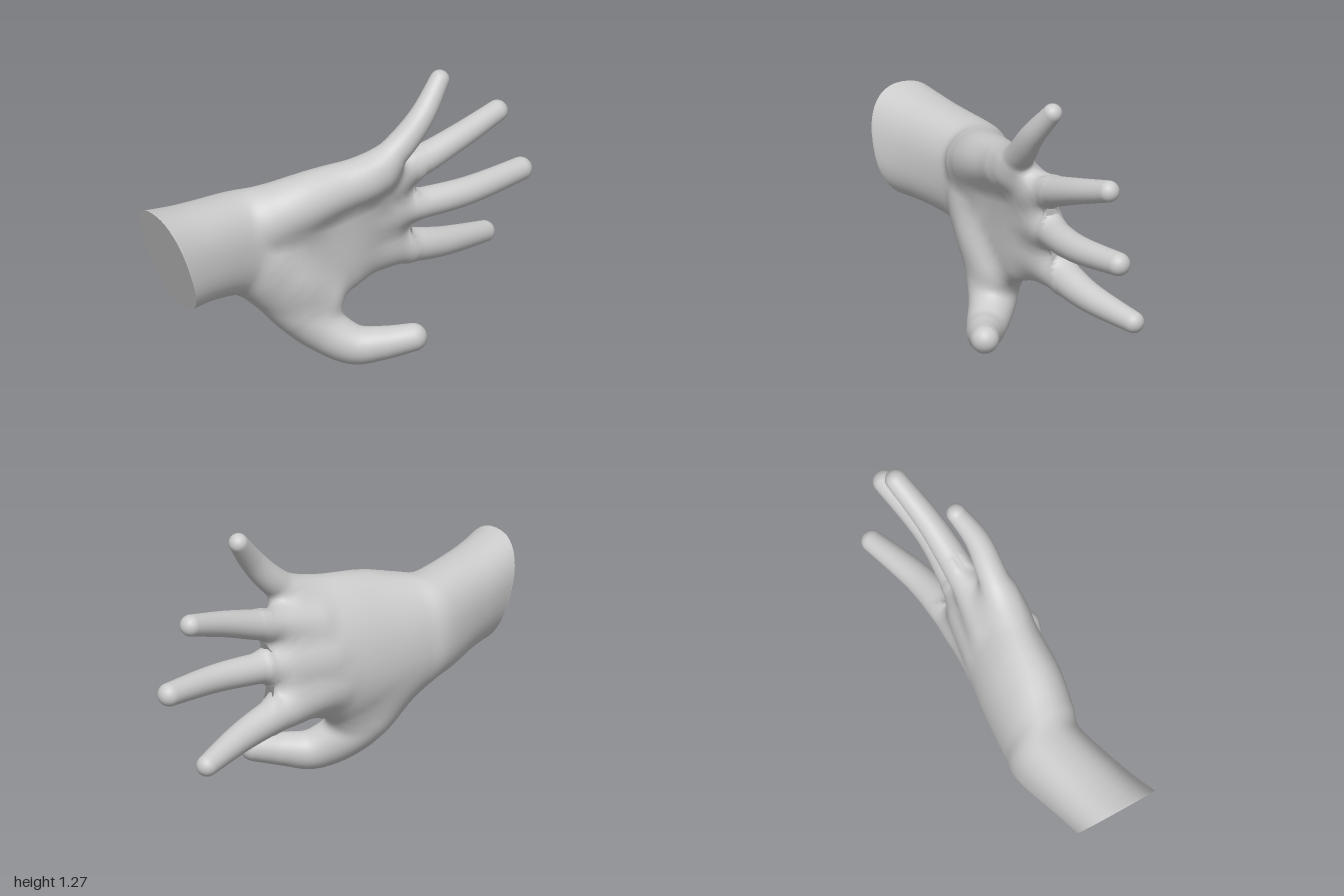
import * as THREE from 'three';

const material = new THREE.MeshStandardMaterial({ color: 0xcccccc });
const SIDES = 40;
const BLEND = 0.07; // width of the soft join between parts
const { clamp, lerp, smoothstep } = THREE.MathUtils;

// Smoothly interpolates a list of number rows, `steps` samples per span.
function smoothRows(rows, steps) {
  const out = [];
  const at = (i) => rows[clamp(i, 0, rows.length - 1)];
  for (let i = 0; i < rows.length - 1; i++) {
    for (let k = 0; k < steps; k++) {
      const t = k / steps;
      out.push(rows[i].map((b, c) => {
        const a = at(i - 1)[c], d = at(i + 1)[c], e = at(i + 2)[c];
        return b + 0.5 * t * (d - a + t * (2 * a - 5 * b + 4 * d - e + t * (3 * (b - d) + e - a)));
      }));
    }
  }
  out.push(rows[rows.length - 1]);
  return out;
}

const ringOf = (point) => Array.from({ length: SIDES }, (_, j) => point((j / SIDES) * Math.PI * 2));

// Round-ended limb. Rows: x, y, z, radius. Gives its rings and a distance function.
function limb(name, ...rows) {
  const samples = smoothRows(rows, 12), last = samples.length - 1;
  const centers = samples.map((r) => new THREE.Vector3(r[0], r[1], r[2]));
  const rings = [];
  const addRing = (center, tangent, r) => {
    const side = new THREE.Vector3(0, 0, 1).cross(tangent).normalize();
    const normal = tangent.clone().cross(side);
    rings.push(ringOf((a) => center.clone().addScaledVector(side, r * Math.cos(a)).addScaledVector(normal, r * Math.sin(a))));
  };
  const tangentAt = (i) => centers[Math.min(i + 1, last)].clone().sub(centers[Math.max(i - 1, 0)]).normalize();
  const dome = (i, dir) => {
    const t = tangentAt(i), r = samples[i][3];
    for (let k = 1; k <= 8; k++) {
      const a = ((dir > 0 ? k : 9 - k) / 8) * Math.PI * 0.49;
      addRing(centers[i].clone().addScaledVector(t, dir * r * Math.sin(a)), t, r * Math.cos(a));
    }
  };
  dome(0, -1);
  samples.forEach((r, i) => addRing(centers[i], tangentAt(i), r[3]));
  dome(last, 1);

  const box = new THREE.Box3().setFromPoints(rings.flat());
  const distance = (p) => {
    const far = box.distanceToPoint(p);
    if (far > 0.15) return far;
    let best = Infinity;
    for (let i = 0; i < last; i++) {
      const a = centers[i], b = centers[i + 1];
      const dx = b.x - a.x, dy = b.y - a.y, dz = b.z - a.z;
      const px = p.x - a.x, py = p.y - a.y, pz = p.z - a.z;
      const t = clamp((px * dx + py * dy + pz * dz) / (dx * dx + dy * dy + dz * dz), 0, 1);
      const d = Math.hypot(px - t * dx, py - t * dy, pz - t * dz) - lerp(samples[i][3], samples[i + 1][3], t);
      if (d < best) best = d;
    }
    return best;
  };
  return { name, rings, distance };
}

// Wrist and palm. Rows: x, low y, high y, z at low edge, z at high edge,
// half thickness, arch of the back. The wrist end is cut at a slant.
function palm(name, ...rows) {
  const n = 2.33; // slightly squarish oval
  const samples = smoothRows(rows, 12), end = samples.length - 1;
  const power = (v) => Math.sign(v) * Math.abs(v) ** (2 / n);
  const slant = (x) => 0.33 * smoothstep(-x, 0.52, 0.92);
  const middleZ = (s, u) => lerp(s[3], s[4], (u + 1) / 2) - s[6] * (1 - u * u);
  const rings = samples.map((s) => ringOf((a) => {
    const u = power(Math.cos(a)), h = (s[2] - s[1]) / 2;
    return new THREE.Vector3(s[0] - slant(s[0]) * u * h, s[1] + h + u * h, middleZ(s, u) + s[5] * power(Math.sin(a)));
  }));

  const sectionAt = (x) => {
    let i = 0;
    while (i < end - 1 && samples[i + 1][0] < x) i++;
    const a = samples[i], b = samples[i + 1], t = clamp((x - a[0]) / (b[0] - a[0]), 0, 1);
    return a.map((v, c) => lerp(v, b[c], t));
  };
  const distance = (p) => {
    let s = sectionAt(p.x);
    for (let k = 0; k < 3; k++) s = sectionAt(p.x + slant(s[0]) * (p.y - (s[1] + s[2]) / 2));
    const h = (s[2] - s[1]) / 2, u = (p.y - s[1] - h) / h;
    const v = (p.z - middleZ(s, clamp(u, -1, 1))) / s[5];
    const size = Math.max((Math.abs(u) ** n + Math.abs(v) ** n) ** (1 / n), 1e-4);
    const slope = Math.hypot(Math.abs(u / size) ** (n - 1) / h, Math.abs(v / size) ** (n - 1) / s[5]);
    return Math.max((size - 1) / slope, p.x - samples[end][0]);
  };
  return { name, rings, distance };
}

// Soft union of all parts.
function fieldOf(parts) {
  return (p) => parts.reduce((sum, part) => {
    const d = part.distance(p);
    const h = Math.max(BLEND - Math.abs(sum - d), 0) / BLEND;
    return Math.min(sum, d) - h * h * BLEND * 0.25;
  }, 10);
}

const AXES = ['x', 'y', 'z'];
function slopeOf(field, p) {
  const g = new THREE.Vector3(), q = p.clone();
  for (const axis of AXES) {
    q[axis] = p[axis] + 0.003;
    const ahead = field(q);
    q[axis] = p[axis] - 0.003;
    g[axis] = ahead - field(q);
    q[axis] = p[axis];
  }
  return g.normalize();
}

// Skins a part's rings, easing its points onto the soft union so neighbours flow together.
function skin({ name, rings }, field) {
  const pos = [], normals = [], index = [];
  for (const p of rings.flat()) {
    let f = field(p);
    const visible = f > -0.045;
    for (let k = 0; k < 3 && visible && Math.abs(f) > 5e-4; k++) {
      p.addScaledVector(slopeOf(field, p), -f);
      f = field(p);
    }
    pos.push(p.x, p.y, p.z);
    normals.push(...slopeOf(field, p).toArray());
  }
  for (let i = 0; i < rings.length - 1; i++) {
    for (let j = 0; j < SIDES; j++) {
      const a = i * SIDES, b = a + SIDES, k = (j + 1) % SIDES;
      index.push(a + j, a + k, b + j, a + k, b + k, b + j);
    }
  }
  // Flat end caps with their own vertices, so the wrist rim stays crisp
  for (const [ring, flip] of [[rings[0], true], [rings[rings.length - 1], false]]) {
    const s = pos.length / 3;
    const c = ring.reduce((sum, p) => sum.add(p), new THREE.Vector3()).divideScalar(SIDES);
    const n = ring[0].clone().sub(c).cross(ring[SIDES / 4].clone().sub(c)).normalize().multiplyScalar(flip ? -1 : 1);
    for (const p of [...ring, c]) {
      pos.push(p.x, p.y, p.z);
      normals.push(n.x, n.y, n.z);
    }
    for (let j = 0; j < SIDES; j++) {
      const k = (j + 1) % SIDES;
      index.push(s + (flip ? k : j), s + (flip ? j : k), s + SIDES);
    }
  }
  const geometry = new THREE.BufferGeometry();
  geometry.setAttribute('position', new THREE.Float32BufferAttribute(pos, 3));
  geometry.setAttribute('normal', new THREE.Float32BufferAttribute(normals, 3));
  geometry.setIndex(index);
  const mesh = new THREE.Mesh(geometry, material);
  mesh.name = name;
  return mesh;
}

export function createModel() {
  const base = palm('wristAndPalm',
    [-0.92, 0.44, 0.92, 0, 0, 0.19, 0], [-0.75, 0.43, 0.885, -0.05, -0.05, 0.18, 0],
    [-0.52, 0.39, 0.865, -0.11, -0.1, 0.173, 0], [-0.4, 0.335, 0.88, -0.09, -0.06, 0.162, 0.025],
    [-0.25, 0.28, 0.91, -0.07, -0.02, 0.152, 0.045], [-0.1, 0.25, 0.93, -0.05, 0, 0.135, 0.06],
    [0.05, 0.305, 0.94, -0.05, 0.03, 0.118, 0.06], [0.17, 0.345, 0.935, -0.07, 0.045, 0.098, 0.05],
    [0.28, 0.37, 0.86, -0.09, 0.01, 0.072, 0.025], [0.35, 0.43, 0.78, -0.09, -0.03, 0.022, 0]);

  // Fingers, each rooted inside the palm
  const little = limb('littleFinger', [0.08, 0.86, 0.04, 0.07], [0.24, 0.975, 0.05, 0.066],
    [0.36, 1.1, 0.052, 0.056], [0.475, 1.233, 0.012, 0.044]);
  const ring = limb('ringFinger', [0.1, 0.78, -0.05, 0.07], [0.36, 0.828, -0.036, 0.07],
    [0.6, 0.898, -0.048, 0.059], [0.83, 0.963, -0.085, 0.049]);
  const middle = limb('middleFinger', [0.06, 0.62, -0.09, 0.07], [0.36, 0.63, -0.045, 0.07],
    [0.64, 0.642, -0.028, 0.063], [0.945, 0.66, -0.075, 0.053]);
  const index = limb('indexFinger', [0.04, 0.47, -0.1, 0.07], [0.32, 0.424, -0.1, 0.078],
    [0.56, 0.378, -0.125, 0.067], [0.835, 0.333, -0.205, 0.049]);

  // Thumb with its broad root
  const thumb = limb('thumb', [-0.38, 0.45, -0.08, 0.115], [-0.24, 0.29, -0.055, 0.122], [-0.13, 0.172, 0, 0.107],
    [-0.02, 0.097, 0.085, 0.09], [0.09, 0.103, 0.155, 0.076], [0.215, 0.125, 0.215, 0.063]);

  // Fleshy pads on either side of the palm
  const heel = limb('heelPad', [-0.38, 0.74, -0.01, 0.085], [-0.2, 0.795, 0.015, 0.098], [0.14, 0.865, 0.04, 0.07]);
  const mound = limb('thumbMound', [-0.36, 0.54, -0.03, 0.09], [-0.25, 0.42, -0.03, 0.11], [-0.12, 0.31, -0.025, 0.09]);

  const parts = [base, little, ring, middle, index, thumb, heel, mound];
  const field = fieldOf(parts);
  const group = new THREE.Group();
  group.name = 'hand';
  parts.forEach((part) => group.add(skin(part, field)));
  return group;
}
